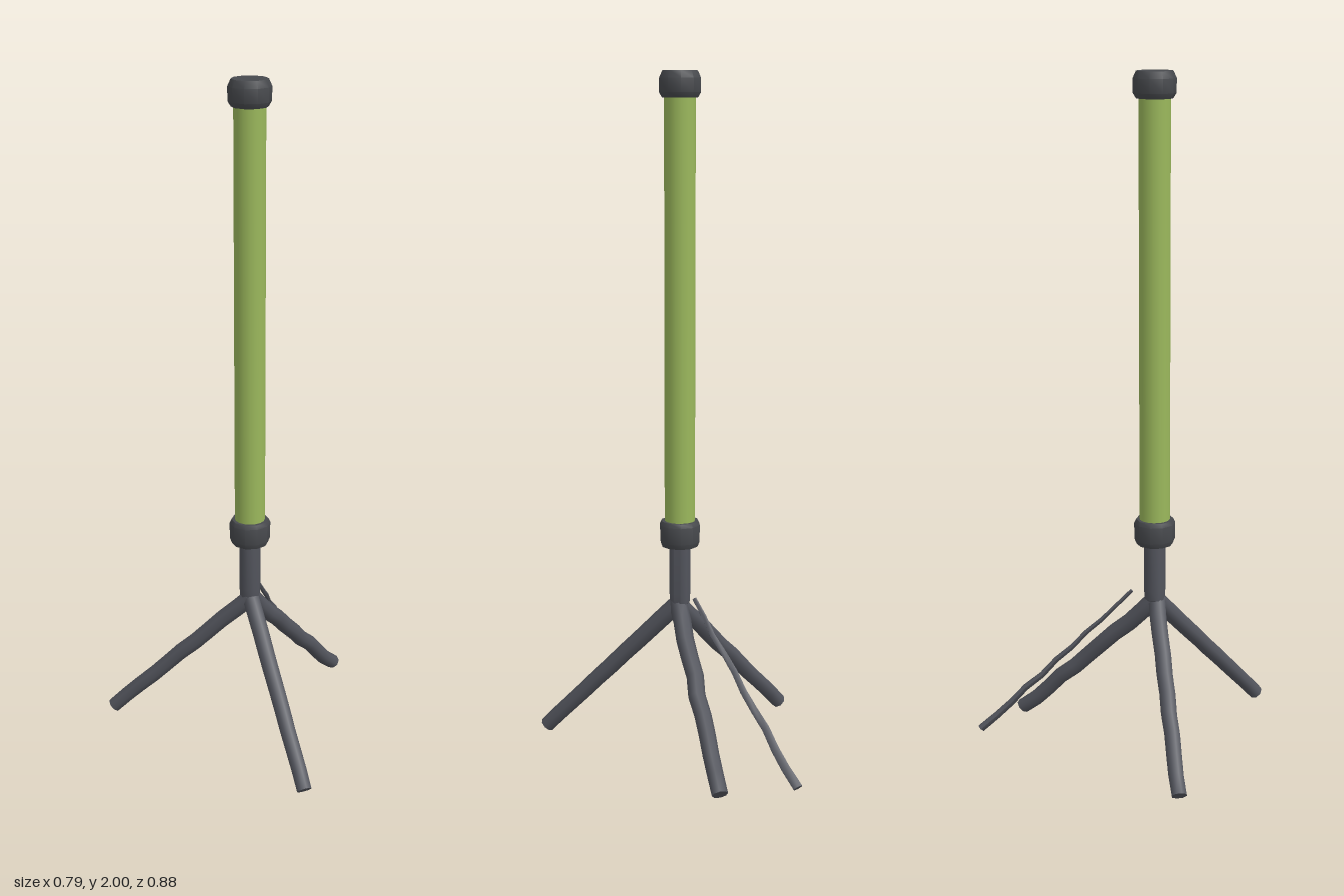
import * as THREE from 'three';
import { toCreasedNormals } from 'three/addons/utils/BufferGeometryUtils.js';

const green = new THREE.MeshStandardMaterial({ color: 0x9bb85c });
const steel = new THREE.MeshStandardMaterial({ color: 0x53555d });
const rubber = new THREE.MeshStandardMaterial({ color: 0x47494d });

function part(name, geometry, material) {
  const mesh = new THREE.Mesh(geometry, material);
  mesh.name = name;
  return mesh;
}

// Turned ring or cap from [radius, height] points
function turned(name, profile, sides, material) {
  const points = profile.map(([r, y]) => new THREE.Vector2(r, y));
  return part(name, toCreasedNormals(new THREE.LatheGeometry(points, sides), 0.7), material);
}

// Straight rod between two points, with slightly uneven, hand-worn sides
function rod(name, from, to, r0, r1, sides, wobble, flat = 1) {
  const a = new THREE.Vector3(...from), b = new THREE.Vector3(...to);
  const dir = b.clone().sub(a);
  const geo = new THREE.CylinderGeometry(r1, r0, dir.length(), sides, 10);
  const p = geo.attributes.position;
  for (let i = 0; i < p.count; i++) {
    const y = p.getY(i);
    p.setX(i, p.getX(i) + wobble * Math.sin(y * 31 + 1));
    p.setZ(i, p.getZ(i) * flat + wobble * Math.cos(y * 43));
  }
  geo.applyQuaternion(new THREE.Quaternion().setFromUnitVectors(
    new THREE.Vector3(0, 1, 0), dir.normalize()));
  a.add(b).multiplyScalar(0.5);
  geo.translate(a.x, a.y, a.z);
  return part(name, toCreasedNormals(geo, 0.9), steel);
}

export function createModel() {
  const model = new THREE.Group();
  model.name = 'tripodTube';

  // Upright tube with its end cap and lower collar
  const upright = new THREE.Group();
  upright.name = 'upright';
  upright.position.z = -0.006;
  const tube = part('tube', new THREE.CylinderGeometry(0.045, 0.045, 1.27, 16), green);
  tube.position.y = 1.305;
  upright.add(
    tube,
    turned('topCap', [[0, 1.925], [0.052, 1.925], [0.061, 1.94], [0.061, 1.98],
      [0.052, 2], [0, 2]], 10, rubber),
    turned('collar', [[0, 0.625], [0.054, 0.625], [0.06, 0.64], [0.061, 0.69],
      [0.055, 0.702], [0, 0.702]], 10, rubber),
    turned('stem', [[0, 0.43], [0.03, 0.45], [0.032, 0.48], [0.032, 0.64]], 10, steel),
  );
  model.add(upright);

  // Three splayed legs
  const hub = [0, 0.445, 0];
  model.add(
    rod('frontLeg', hub, [0, 0.018, 0.422], 0.027, 0.023, 8, 0.0005),
    rod('backRightLeg', hub, [-0.372, 0.025, -0.233], 0.027, 0.023, 8, 0.0015),
    rod('backLeftLeg', hub, [0.38, 0.025, -0.226], 0.027, 0.023, 8, 0.003),
  );

  // Thin tapering brace beside the back left leg
  model.add(rod('thinBrace', [0.04, 0.475, -0.06], [0.313, 0.04, -0.43],
    0.007, 0.015, 6, 0.003, 0.8));
  return model;
}
